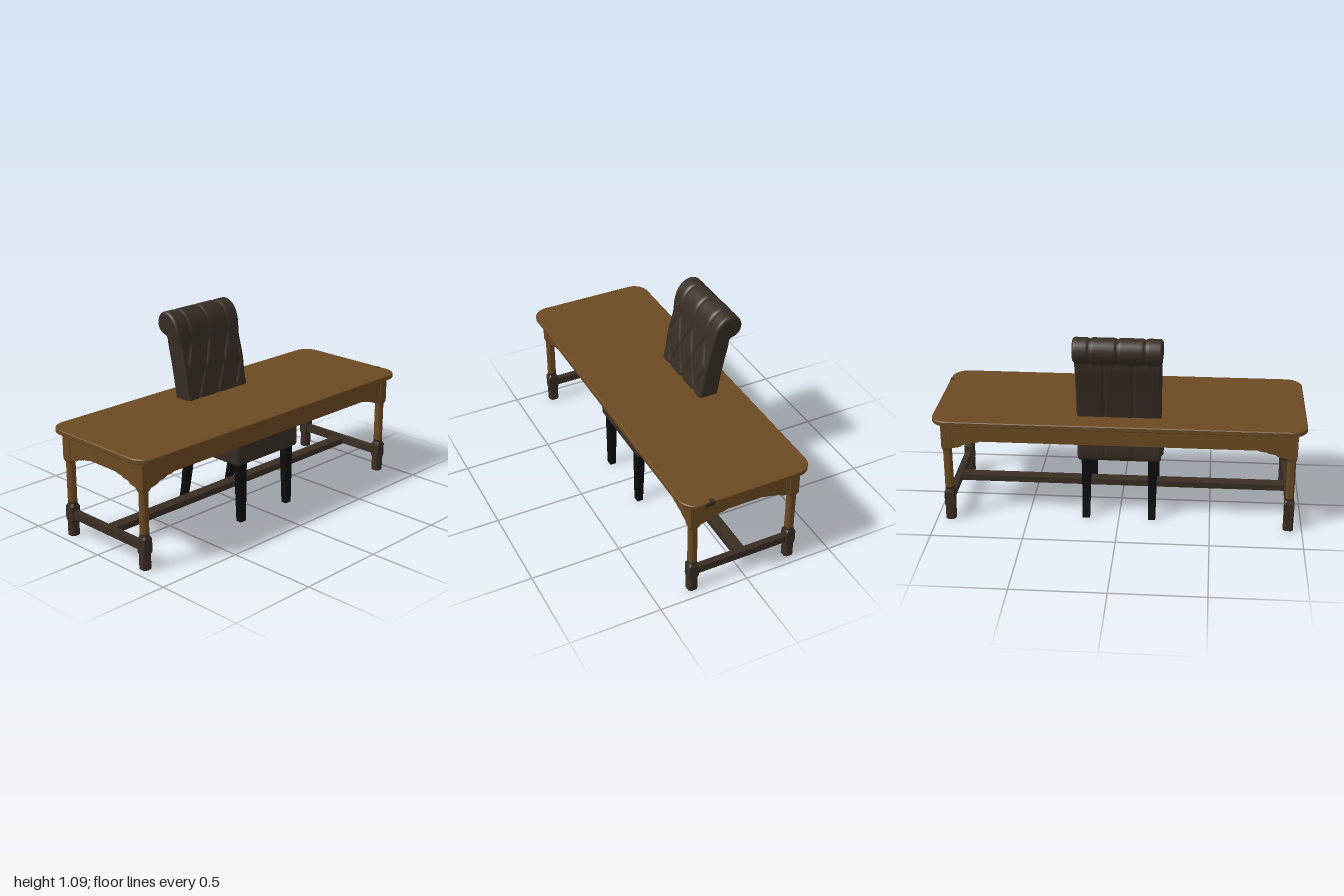
import * as THREE from 'three';
import { RoundedBoxGeometry } from 'three/addons/geometries/RoundedBoxGeometry.js';

const mat = (name, color, extra = {}) => Object.assign(new THREE.MeshStandardMaterial({ color, ...extra }), { name });

export function createModel() {
  const model = new THREE.Group();
  const wood = mat('golden wood', 0x6b4a22);
  const darkWood = mat('dark wood', 0x3a2e24);
  const leather = mat('brown leather', 0x382e25);
  const black = mat('black wood', 0x0d0d0d);

  const desk = new THREE.Group();
  desk.name = 'desk';
  const chair = new THREE.Group();
  chair.name = 'chair';
  model.add(desk, chair);

  const add = (parent, name, geo, material, x = 0, y = 0, z = 0) => {
    const mesh = new THREE.Mesh(geo, material);
    mesh.name = name;
    mesh.position.set(x, y, z);
    parent.add(mesh);
    return mesh;
  };
  const box = (parent, name, material, w, h, d, x, y, z) =>
    add(parent, name, new THREE.BoxGeometry(w, h, d), material, x, y, z);

  // Tabletop: rounded rectangle with a slight bevel
  const b = 0.004, hx = 1 - b, hz = 0.363 - b, r = 0.085;
  const top = new THREE.Shape();
  top.moveTo(-hx + r, -hz);
  top.absarc(hx - r, -hz + r, r, -Math.PI / 2, 0);
  top.absarc(hx - r, hz - r, r, 0, Math.PI / 2);
  top.absarc(-hx + r, hz - r, r, Math.PI / 2, Math.PI);
  top.absarc(-hx + r, -hz + r, r, Math.PI, Math.PI * 1.5);
  const topGeo = new THREE.ExtrudeGeometry(top, {
    depth: 0.019, bevelSize: b, bevelThickness: b, bevelSegments: 1, curveSegments: 10,
  });
  topGeo.rotateX(-Math.PI / 2);
  add(desk, 'tabletop', topGeo, wood, 0, 0.589, 0);
  box(desk, 'edgePatch', darkWood, 0.004, 0.024, 0.05, 0.999, 0.598, 0.23);
  box(desk, 'topPatch', darkWood, 0.02, 0.004, 0.025, 0.988, 0.611, 0.218);

  // Scalloped apron, lower at its two ends
  const apron = (half) => {
    const scallop = [[0, 0.43], [0.035, 0.437], [0.06, 0.443], [0.075, 0.455], [0.11, 0.46],
      [0.125, 0.468], [0.15, 0.47], [0.17, 0.477]];
    const pts = [
      ...scallop.map(([d, y]) => new THREE.Vector2(-half + d, y)),
      ...scallop.slice().reverse().map(([d, y]) => new THREE.Vector2(half - d, y)),
      new THREE.Vector2(half, 0.586), new THREE.Vector2(-half, 0.586),
    ];
    const geo = new THREE.ExtrudeGeometry(new THREE.Shape(pts), { depth: 0.02, bevelEnabled: false });
    return geo.translate(0, 0, -0.01);
  };
  for (const s of [1, -1]) {
    add(desk, 'longApron', apron(0.91), wood, 0, 0, s * 0.297);
    add(desk, 'sideApron', apron(0.27).rotateY(Math.PI / 2), wood, s * 0.936, 0, 0);
    box(desk, 'sideStretcher', darkWood, 0.035, 0.042, 0.54, s * 0.926, 0.121, 0);
  }
  box(desk, 'longStretcher', darkWood, 1.83, 0.034, 0.064, 0, 0.115, 0);

  // Desk legs: stacked chamfered squares, levels are [y, half width, chamfer]
  const chamferedPost = (levels) => {
    const pos = [], idx = [];
    for (const [y, h, c] of levels) {
      const k = h - c;
      for (const [x, z] of [[h, -k], [h, k], [k, h], [-k, h], [-h, k], [-h, -k], [-k, -h], [k, -h]]) pos.push(x, y, z);
    }
    const n = levels.length - 1;
    for (let l = 0; l < n; l++) for (let i = 0; i < 8; i++) {
      const a = l * 8 + i, d = l * 8 + (i + 1) % 8;
      idx.push(a, a + 8, d, d, a + 8, d + 8);
    }
    for (let i = 1; i < 7; i++) {
      idx.push(0, i, i + 1);
      idx.push(n * 8, n * 8 + i + 1, n * 8 + i);
    }
    const geo = new THREE.BufferGeometry();
    geo.setAttribute('position', new THREE.Float32BufferAttribute(pos, 3));
    geo.setIndex(idx);
    const flat = geo.toNonIndexed();
    flat.computeVertexNormals();
    return flat;
  };
  const foot = chamferedPost([[0, 0.027, 0.012], [0.08, 0.027, 0.012], [0.095, 0.027, 0.001],
    [0.165, 0.027, 0.001], [0.18, 0.022, 0.01], [0.195, 0.022, 0.01]]);
  const post = chamferedPost([[0.195, 0.022, 0.01], [0.415, 0.022, 0.01], [0.435, 0.027, 0.001], [0.586, 0.027, 0.001]]);
  for (const x of [0.926, -0.926]) for (const z of [0.286, -0.286]) {
    add(desk, 'deskLegFoot', foot, darkWood, x, 0, z);
    add(desk, 'deskLegPost', post, wood, x, 0, z);
  }

  // Chair seat
  add(chair, 'seat', new RoundedBoxGeometry(0.474, 0.136, 0.4, 4, 0.018), leather, 0, 0.404, 0.059);
  box(chair, 'seatBackJoint', leather, 0.4, 0.1, 0.06, 0, 0.4, -0.15);

  // Chair legs: side outline as [z, y], extruded across x
  const chairLeg = (pts) => {
    const shape = new THREE.Shape(pts.map(([z, y]) => new THREE.Vector2(-z, y)));
    const geo = new THREE.ExtrudeGeometry(shape, { depth: 0.05, bevelEnabled: false });
    geo.translate(0, 0, -0.025).rotateY(Math.PI / 2);
    const p = geo.attributes.position;
    for (let i = 0; i < p.count; i++) p.setX(i, p.getX(i) * (0.8 + 0.6 * p.getY(i)));
    geo.computeVertexNormals();
    return geo;
  };
  const frontLeg = chairLeg([[0.246, 0], [0.246, 0.345], [0.198, 0.345], [0.212, 0]]);
  const backLeg = chairLeg([[-0.211, 0], [-0.19, 0.1], [-0.172, 0.2], [-0.16, 0.28], [-0.156, 0.36],
    [-0.204, 0.36], [-0.205, 0.28], [-0.211, 0.2], [-0.223, 0.1], [-0.243, 0]]);
  for (const s of [1, -1]) {
    add(chair, 'frontLeg', frontLeg, black, s * 0.181, 0, 0);
    add(chair, 'backLeg', backLeg, black, s * 0.181, 0, 0);
  }

  // Tufted backrest with a rolled top: closed side outline [z, y] swept across x
  const outline = new THREE.CatmullRomCurve3([[-0.148, 0.345], [-0.143, 0.45], [-0.122, 0.59], [-0.138, 0.68],
    [-0.152, 0.78], [-0.184, 0.9], [-0.198, 0.98], [-0.222, 1.04], [-0.26, 1.075], [-0.303, 1.085], [-0.345, 1.066],
    [-0.364, 1.02], [-0.351, 0.975], [-0.325, 0.955], [-0.299, 0.944], [-0.293, 0.9], [-0.266, 0.78],
    [-0.236, 0.62], [-0.222, 0.5], [-0.214, 0.345]].map(([z, y]) => new THREE.Vector3(0, y, z)), true, 'centripetal');
  const N = 130, W = 0.235, R = 0.016;
  const columns = [];
  for (let i = 5; i > 0; i--) columns.push(-(W - R) - R * Math.sin(i * Math.PI / 10));
  for (let i = 0; i <= 88; i++) columns.push((W - R) * (i / 44 - 1));
  for (let i = 1; i <= 5; i++) columns.push((W - R) + R * Math.sin(i * Math.PI / 10));
  const groove = (t) => Math.exp(-(((t - Math.round(t)) / 0.06) ** 2));
  const crease = (x, y, nz) => {
    if (nz < -0.3 && y < 0.94) return 0.005 * Math.exp(-(((Math.abs(x) - 0.08) / 0.008) ** 2));
    if (y < 0.48 || Math.abs(x) > 0.205) return 0;
    if (y > 0.93) return 0.007 * groove(x / 0.145);
    const slant = (0.93 - y) * 0.48;
    return 0.009 * Math.max(groove((x + slant) / 0.145), groove((x - slant) / 0.145));
  };
  const pos = [], idx = [], endOutline = [];
  const rows = Array.from({ length: N }, (_, j) => ({ p: outline.getPointAt(j / N), t: outline.getTangentAt(j / N) }));
  columns.forEach((x, i) => {
    const over = Math.max(0, Math.abs(x) - (W - R)) / R;
    const inset = R * (1 - Math.sqrt(Math.max(0, 1 - over * over)));
    rows.forEach(({ p, t }, j) => {
      const nz = t.y, ny = -t.z, d = inset + crease(x, p.y, nz);
      const wide = 0.965 + 0.035 * THREE.MathUtils.smoothstep(p.y, 0.88, 1);
      const y = p.y - ny * d, z = p.z - nz * d;
      pos.push(x * wide, y, z);
      if (i === 0) endOutline.push(new THREE.Vector2(z, y));
      if (i < columns.length - 1) {
        const a = i * N + j, e = i * N + (j + 1) % N;
        idx.push(a, a + N, e + N, a, e + N, e);
      }
    });
  });
  const last = (columns.length - 1) * N;
  for (const [a, c, e] of THREE.ShapeUtils.triangulateShape(endOutline, [])) {
    idx.push(a, c, e, last + a, last + e, last + c);
  }
  const backGeo = new THREE.BufferGeometry();
  backGeo.setAttribute('position', new THREE.Float32BufferAttribute(pos, 3));
  backGeo.setIndex(idx);
  backGeo.computeVertexNormals();
  add(chair, 'tuftedBackrest', backGeo, leather);

  return model;
}
